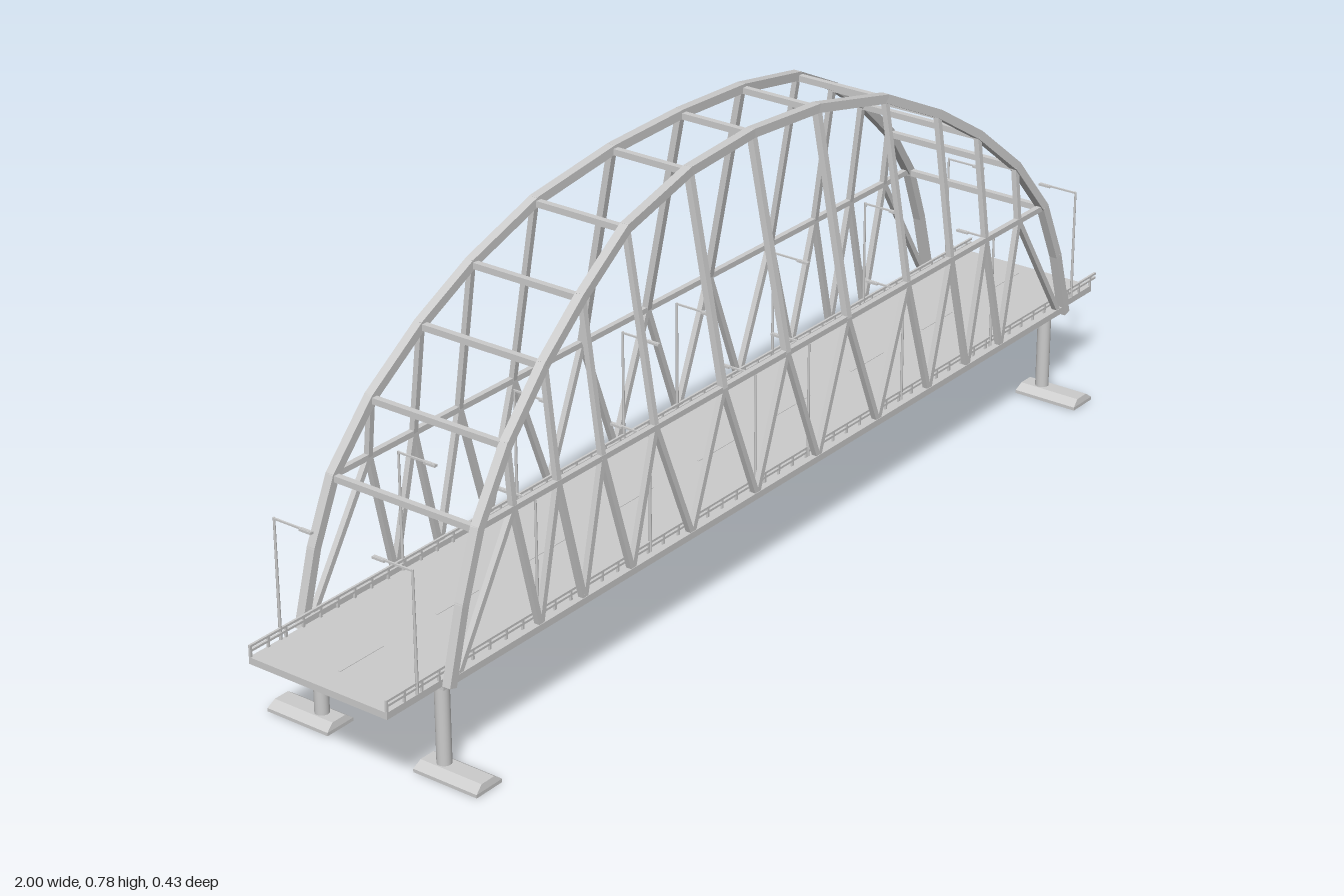
import * as THREE from 'three';

const material = new THREE.MeshStandardMaterial({ color: 0xcccccc });

export function createModel() {
  const model = new THREE.Group();
  model.name = 'archBridge';

  const add = (parent, name, geometry, x = 0, y = 0, z = 0) => {
    const mesh = new THREE.Mesh(geometry, material);
    mesh.name = name;
    mesh.position.set(x, y, z);
    parent.add(mesh);
    return mesh;
  };
  const box = (parent, name, w, h, d, x, y, z) =>
    add(parent, name, new THREE.BoxGeometry(w, h, d), x, y, z);

  // Square beam between two points
  const beam = (parent, name, a, b, w, extra = 0) => {
    const p = new THREE.Vector3(...a), q = new THREE.Vector3(...b);
    const mesh = add(parent, name, new THREE.BoxGeometry(w, w, p.distanceTo(q) + extra));
    const alongZ = Math.abs(q.z - p.z) > 0.9 * p.distanceTo(q);
    mesh.up.set(0, alongZ ? 1 : 0, alongZ ? 0 : 1);
    mesh.position.copy(p).add(q).multiplyScalar(0.5);
    mesh.lookAt(q);
    return mesh;
  };

  // Arch nodes from the foot to the crown: x, y, z
  const half = [
    [0.87, 0.165, 0.152], [0.835, 0.29, 0.151], [0.79, 0.4, 0.147], [0.707, 0.505, 0.137],
    [0.6, 0.595, 0.124], [0.49, 0.665, 0.111], [0.355, 0.73, 0.092],
    [0.175, 0.765, 0.078], [0, 0.774, 0.073],
  ];
  const nodes = [
    ...half.map(([x, y, z]) => [-x, y, z]),
    ...half.slice(0, -1).reverse(),
  ];
  const hung = nodes.slice(3, -3);
  const chordY = 0.4, chordZ = 0.147, deckY = 0.172;

  // Arches, chords, hangers and web, mirrored front to back
  for (const s of [1, -1]) {
    const side = new THREE.Group();
    side.name = s > 0 ? 'frontArchTruss' : 'backArchTruss';
    model.add(side);
    const at = ([x, y, z]) => [x, y, z * s];

    for (let i = 1; i < nodes.length; i++)
      beam(side, 'archSegment', at(nodes[i - 1]), at(nodes[i]), 0.016, 0.004);
    beam(side, 'upperChord', [-0.79, chordY, chordZ * s], [0.79, chordY, chordZ * s], 0.01);
    beam(side, 'lowerChord', [-0.87, deckY, 0.15 * s], [0.87, deckY, 0.15 * s], 0.012);

    for (const n of hung)
      beam(side, 'hanger', [n[0], chordY, chordZ * s], at(n), Math.abs(n[0]) < 0.2 ? 0.012 : 0.01);

    // Zigzag web with its peaks below the hangers
    const feet = [-0.85];
    for (let i = 1; i < hung.length; i++) feet.push((hung[i - 1][0] + hung[i][0]) / 2);
    feet.push(0.85);
    hung.forEach(([x], i) => {
      for (const foot of [feet[i], feet[i + 1]])
        beam(side, 'webDiagonal', [foot, deckY, 0.15 * s], [x, chordY, chordZ * s], 0.01);
    });
  }

  // Struts joining the two arches
  for (const [x, y, z] of nodes.slice(2, -2))
    beam(model, 'crossStrut', [x, y - 0.003, -z], [x, y - 0.003, z], 0.011);

  // Roadway with floor beams and lane dashes
  const road = new THREE.Group();
  road.name = 'roadway';
  model.add(road);
  box(road, 'deck', 1.985, 0.012, 0.282, -0.0075, 0.168, 0);
  for (let i = 0; i <= 8; i++)
    box(road, 'floorBeam', 0.008, 0.005, 0.28, -0.87 + i * 0.2175, 0.1615, 0);
  for (let i = 0; i < 9; i++)
    box(road, 'laneDash', 0.1, 0.001, 0.004, -0.9 + i * 0.225, 0.1744, 0);

  // Railings and street lamps along both edges
  for (const s of [1, -1]) {
    const railing = new THREE.Group();
    railing.name = 'railing';
    model.add(railing);
    for (const y of [0.185, 0.193])
      box(railing, 'rail', 2, 0.004, 0.004, 0, y, 0.139 * s);
    for (let i = 0; i <= 50; i++)
      box(railing, 'railPost', 0.004, 0.022, 0.004, -0.998 + i * 0.0396, 0.184, 0.139 * s);

    for (const x of [-0.93, -0.645, -0.36, -0.075, 0.075, 0.355, 0.64, 0.915]) {
      const lamp = new THREE.Group();
      lamp.name = 'streetLamp';
      model.add(lamp);
      add(lamp, 'lampPost', new THREE.CylinderGeometry(0.002, 0.0028, 0.212, 8), x, 0.28, 0.14 * s);
      box(lamp, 'lampArm', 0.003, 0.003, 0.078, x, 0.384, 0.102 * s);
      box(lamp, 'lampHead', 0.007, 0.004, 0.024, x, 0.383, 0.074 * s);
    }
  }

  // Piers on tapered footings at the four corners
  for (const x of [-0.86, 0.845]) for (const s of [1, -1]) {
    const pier = new THREE.Group();
    pier.name = 'pier';
    model.add(pier);
    add(pier, 'column', new THREE.CylinderGeometry(0.0125, 0.0125, 0.15, 20), x, 0.085, 0.127 * s);
    box(pier, 'columnCap', 0.026, 0.008, 0.03, x, 0.158, 0.127 * s);
    box(pier, 'footingBase', 0.06, 0.006, 0.128, x, 0.003, 0.153 * s);
    const top = new THREE.BoxGeometry(0.06, 0.011, 0.128);
    const p = top.attributes.position;
    for (let i = 0; i < p.count; i++)
      if (p.getY(i) > 0) { p.setX(i, p.getX(i) * 0.5); p.setZ(i, p.getZ(i) * 0.96); }
    top.computeVertexNormals();
    add(pier, 'footingTop', top, x, 0.0115, 0.153 * s);
  }

  return model;
}
